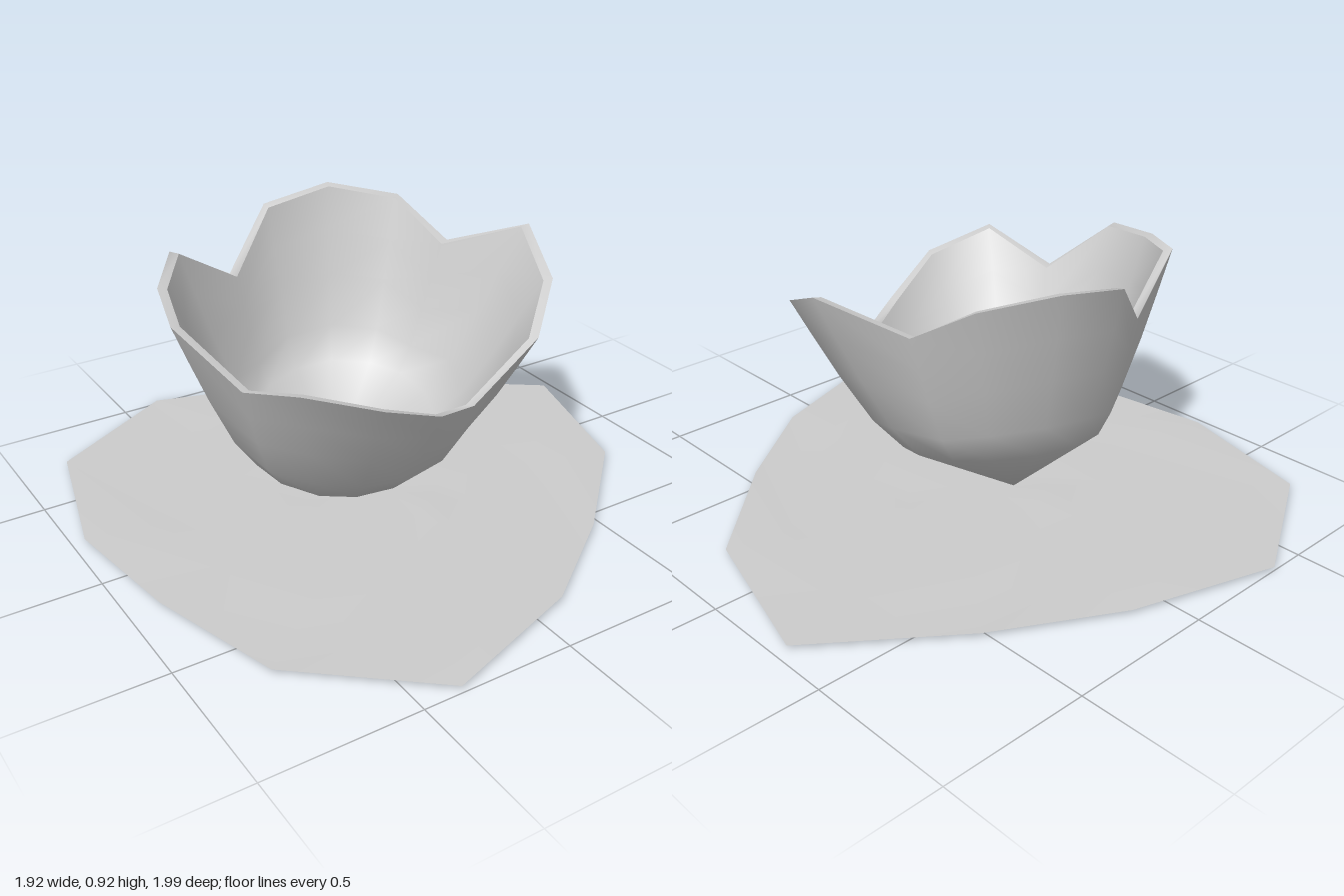
import * as THREE from 'three';

// Broken rim of the shell, outer edge: x, y, z going round seen from above
const RIM = [
  [-0.10, 0.88, -0.57], [0.14, 0.92, -0.55], [0.34, 0.88, -0.41], [0.41, 0.76, -0.21],
  [0.57, 0.86, 0.03], [0.49, 0.76, 0.26], [0.31, 0.66, 0.42], [0.08, 0.485, 0.41],
  [-0.10, 0.535, 0.49], [-0.33, 0.64, 0.545], [-0.55, 0.71, 0.46], [-0.59, 0.62, 0.19],
  [-0.72, 0.79, 0.01], [-0.66, 0.82, -0.21], [-0.53, 0.85, -0.40], [-0.29, 0.70, -0.47],
];
// Outline of the ground sheet: x, z
const SHEET = [
  [-0.37, -1], [0.12, -0.85], [0.52, -0.63], [0.96, -0.3], [0.81, 0.23], [0.46, 0.57],
  [0.12, 0.82], [-0.37, 0.99], [-0.77, 0.65], [-0.9, 0.2], [-0.96, -0.24], [-0.83, -0.74],
];

// Joins rings of points into a surface; a ring of one point closes it as a fan
function loft(rings, flip = false) {
  const pos = [], index = [], starts = [];
  rings.forEach((ring) => {
    starts.push(pos.length / 3);
    ring.forEach((p) => pos.push(...p));
  });
  const tri = (a, b, c) => index.push(a, flip ? c : b, flip ? b : c);
  for (let r = 0; r < rings.length - 1; r++) {
    const n = rings[r + 1].length, a = starts[r], b = starts[r + 1];
    for (let i = 0; i < n; i++) {
      const j = (i + 1) % n;
      if (rings[r].length === 1) tri(a, b + i, b + j);
      else {
        tri(a + i, b + i, b + j);
        tri(a + i, b + j, a + j);
      }
    }
  }
  const geo = new THREE.BufferGeometry();
  geo.setAttribute('position', new THREE.Float32BufferAttribute(pos, 3));
  geo.setIndex(index);
  geo.computeVertexNormals();
  return geo;
}

// Rings of the shell from its pointed bottom to the broken rim
function shellRings(thickness) {
  const rings = [[[-0.1, 0.04 + thickness, -0.135]]];
  for (const [t, bulge] of [[0, 0], [0.2, 0.025], [0.5, 0.022], [0.75, 0.012], [1, 0]]) {
    rings.push(RIM.map(([x, y, z]) => {
      const a = Math.atan2(z + 0.03, x + 0.08), c = Math.cos(a), s = Math.sin(a);
      const out = bulge * (1 + 0.4 * s) - thickness;
      const lowX = -0.08 + 0.34 * c, lowZ = -0.095 + 0.325 * s;
      const lowY = 0.235 + 0.035 * c - 0.075 * s;
      return [
        THREE.MathUtils.lerp(lowX, x, t) + out * c,
        THREE.MathUtils.lerp(lowY, y, t) + thickness * 0.6 * (1 - t) - thickness * 0.2 * t,
        THREE.MathUtils.lerp(lowZ, z, t) + out * s,
      ];
    }));
  }
  return rings;
}

export function createModel() {
  const group = new THREE.Group();
  const add = (name, geometry, parent, side = THREE.FrontSide) => {
    const mesh = new THREE.Mesh(geometry, new THREE.MeshStandardMaterial({ color: 0xcccccc, side }));
    mesh.name = name;
    parent.add(mesh);
  };

  // Broken shell: outside, inside and the flat broken edge between them
  const shell = new THREE.Group();
  shell.name = 'brokenShell';
  group.add(shell);
  const outer = shellRings(0), inner = shellRings(0.03);
  add('shellOutside', loft(outer), shell);
  add('shellInside', loft(inner, true), shell);
  add('shellEdge', loft([outer.at(-1), inner.at(-1)]), shell, THREE.DoubleSide);

  // Thin, slightly uneven sheet under the shell
  const sheetRings = [[[0, 0.015, 0]]];
  for (const s of [0.25, 0.5, 0.75, 1]) {
    sheetRings.push(SHEET.map(([x, z], i) => {
      const wave = s < 1 ? 0.014 * Math.sin(i * 2.1 + s * 9) : 0;
      return [x * s, 0.02 + wave, z * s];
    }));
  }
  const sheet = loft(sheetRings, true);
  sheet.computeBoundingBox();
  sheet.translate(0, -sheet.boundingBox.min.y, 0);
  add('groundSheet', sheet, group, THREE.DoubleSide);

  return group;
}
